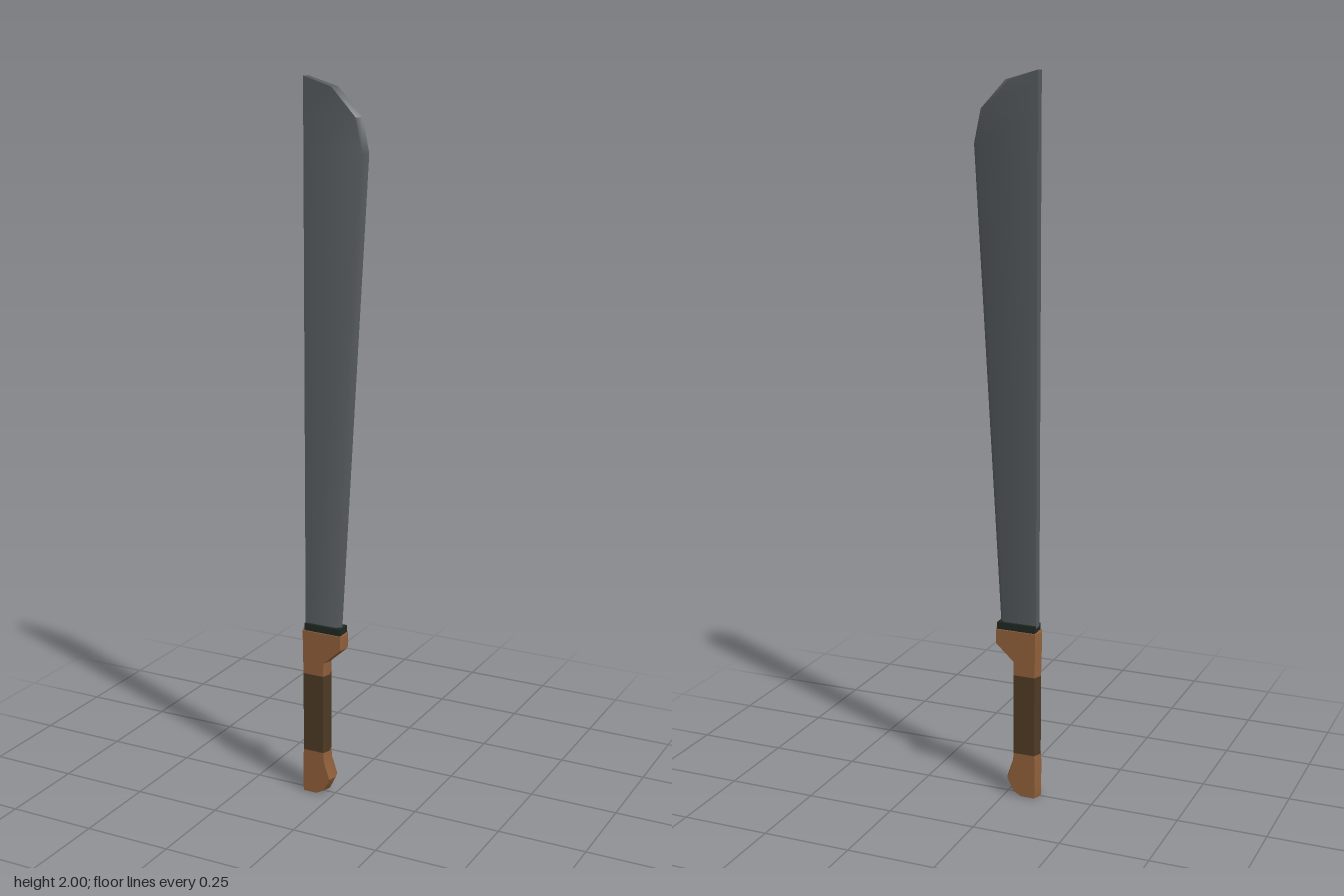
import * as THREE from 'three';
import { toCreasedNormals } from 'three/addons/utils/BufferGeometryUtils.js';

const material = (name, color) => new THREE.MeshStandardMaterial({ name, color });

// Skin a closed solid through horizontal sections; each section is { y, ring: [[x, z], ...] }
function loft(sections, crease) {
  const n = sections[0].ring.length;
  const positions = sections.flatMap(({ y, ring }) => ring.flatMap(([x, z]) => [x, y, z]));
  const index = [];
  for (let r = 0; r < sections.length - 1; r++) {
    for (let i = 0; i < n; i++) {
      const a = r * n + i, b = r * n + (i + 1) % n;
      index.push(a, b, b + n, a, b + n, a + n);
    }
  }
  const top = (sections.length - 1) * n;
  for (let i = 1; i < n - 1; i++) {
    index.push(0, i + 1, i, top, top + i, top + i + 1);
  }
  const geometry = new THREE.BufferGeometry();
  geometry.setAttribute('position', new THREE.Float32BufferAttribute(positions, 3));
  geometry.setIndex(index);
  return toCreasedNormals(geometry, crease);
}

// Six-sided grip section, pointed at the back and front
function gripSection([y, back, front, half = 0.025]) {
  const b = back + 0.01, f = front - 0.008;
  return { y, ring: [[back, 0], [b, half], [f, half], [front, 0], [f, -half], [b, -half]] };
}

// Blade section: square spine, flat sides and a short bevel to the cutting edge
function bladeSection([y, edge]) {
  const spine = -0.087, half = 0.013;
  const f = Math.max(spine + 0.002, edge - 0.014);
  return { y, ring: [[spine, half], [f, half], [edge, 0], [f, -half], [spine, -half]] };
}

export function createModel() {
  const group = new THREE.Group();
  const steel = material('darkSteel', 0x555a5e);
  const wood = material('wood', 0x8f5f3a);
  const leather = material('leatherWrap', 0x4d3a24);
  const black = material('blackCollar', 0x1f2822);

  const add = (name, geometry, mat) => {
    const mesh = new THREE.Mesh(geometry, mat);
    mesh.name = name;
    group.add(mesh);
    return mesh;
  };

  // Rounded butt of the handle: y, back x, front x
  add('pommel', loft([
    [0, -0.098, -0.04], [0.012, -0.1, -0.018], [0.05, -0.1, 0.001],
    [0.1, -0.1, -0.016], [0.128, -0.098, -0.018],
  ].map(gripSection), 0.7), wood);

  // Wrapped middle of the handle
  add('gripWrap', loft([
    [0.128, -0.098, -0.018], [0.36, -0.098, -0.018],
  ].map(gripSection), 0.7), leather);

  // Flared finger guard
  add('fingerGuard', loft([
    [0.36, -0.098, -0.018], [0.4, -0.099, -0.017],
    [0.447, -0.1, 0.035], [0.488, -0.1, 0.035],
  ].map(gripSection), 0.7), wood);

  // Collar between handle and blade
  add('collar', new THREE.BoxGeometry(0.112, 0.022, 0.042), black)
    .position.set(-0.031, 0.497, 0);

  // Blade widening toward the curved tip: y, edge x
  add('blade', loft([
    [0.5, 0.021], [1.81, 0.097], [1.9, 0.078], [1.975, 0.008], [2, -0.082],
  ].map(bladeSection), 0.9), steel);

  return group;
}
